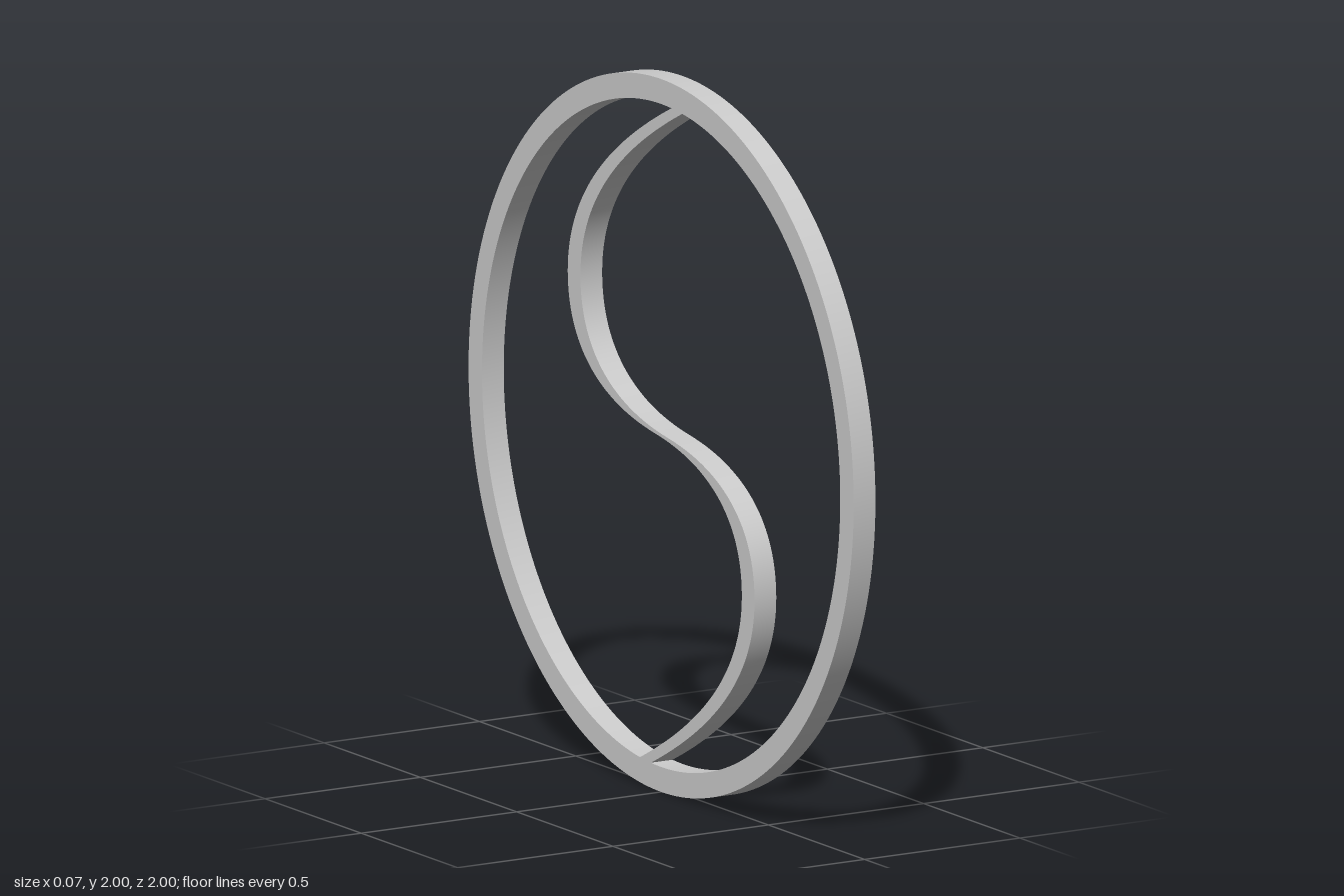
import * as THREE from 'three';
import { toCreasedNormals } from 'three/addons/utils/BufferGeometryUtils.js';

const THICK = 0.07;      // plate thickness along x
const HALF = 0.033;      // half the horizontal width of the ribbon

export function createModel() {
  const group = new THREE.Group();
  group.name = 'ringWithCurve';
  const material = new THREE.MeshStandardMaterial({ color: 0xcccccc });

  // Extrude a shape drawn in the (-z, y) plane about the ring centre
  function addPlate(name, shape, curveSegments) {
    let geo = new THREE.ExtrudeGeometry(shape, { depth: THICK, bevelEnabled: false, curveSegments });
    geo.translate(0, 0, -THICK / 2);
    geo.rotateY(Math.PI / 2);
    geo.translate(0, 1, 0);
    geo = toCreasedNormals(geo, 0.6);
    const mesh = new THREE.Mesh(geo, material);
    mesh.name = name;
    group.add(mesh);
  }

  // Outer ring
  const ring = new THREE.Shape().absarc(0, 0, 1, 0, Math.PI * 2, false);
  ring.holes.push(new THREE.Path().absarc(0, 0, 0.93, 0, Math.PI * 2, true));
  addPlate('outerRing', ring, 128);

  // Upper half of the S-curve; the lower half is its point reflection
  const upper = new THREE.Path();
  upper.moveTo(0, 0);
  upper.bezierCurveTo(0.30, 0.04, 0.452, 0.17, 0.452, 0.37);
  upper.bezierCurveTo(0.452, 0.60, 0.22, 0.78, -0.09, 0.93);
  const top = upper.getPoints(32);
  const bottom = top.slice(1).reverse().map((p) => new THREE.Vector2(-p.x, -p.y));
  const spine = [...bottom, ...top];

  // Ribbon: the same curve shifted sideways, so it thins where it runs level
  const shifted = (dx) => spine.map((p) => new THREE.Vector2(p.x + dx, p.y));
  addPlate('sCurveRibbon', new THREE.Shape([...shifted(HALF), ...shifted(-HALF).reverse()]), 1);

  return group;
}
